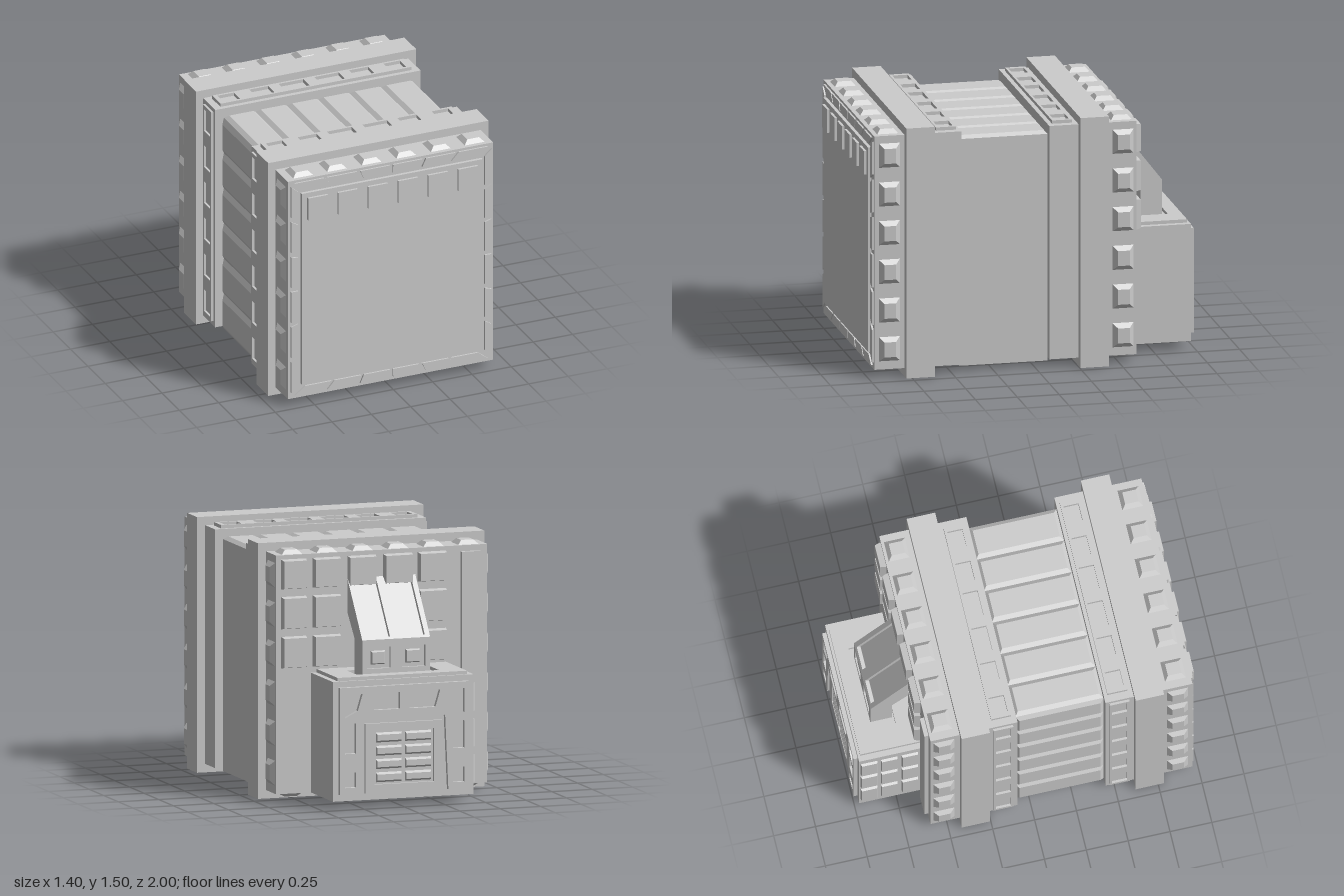
import * as THREE from 'three';

const mat = new THREE.MeshStandardMaterial({ color: 0xcccccc, flatShading: true });

// Rotations that turn a part's local +z towards each side of the model
const SIDE = {
  front: [0, 0, 0], back: [0, Math.PI, 0], left: [0, Math.PI / 2, 0],
  right: [0, -Math.PI / 2, 0], top: [-Math.PI / 2, 0, 0], bottom: [Math.PI / 2, 0, 0],
};

function add(parent, name, geo, pos = [0, 0, 0], side = 'front') {
  const m = new THREE.Mesh(geo, mat);
  m.name = name;
  m.position.set(...pos);
  m.rotation.set(...SIDE[side]);
  parent.add(m);
  return m;
}

// Box given by its limits on each axis
function block(parent, name, [x0, x1], [y0, y1], [z0, z1]) {
  return add(parent, name, new THREE.BoxGeometry(x1 - x0, y1 - y0, z1 - z0),
    [(x0 + x1) / 2, (y0 + y1) / 2, (z0 + z1) / 2]);
}

// Box standing on z = 0 whose outer face is narrowed
function frustum(w, h, topW, topH, d) {
  const g = new THREE.BoxGeometry(w, h, d).translate(0, 0, d / 2);
  const p = g.attributes.position;
  for (let i = 0; i < p.count; i++) {
    if (p.getZ(i) > d / 2) p.setXY(i, p.getX(i) * topW / w, p.getY(i) * topH / h);
  }
  g.computeVertexNormals();
  return g;
}

const poly = (pts) => pts.map(([x, y]) => new THREE.Vector2(x, y));
const rect = (x0, x1, y0, y1) => [[x0, y0], [x1, y0], [x1, y1], [x0, y1]];

// Flat plate of the given outline with holes
function plate(outline, holes, depth) {
  const s = new THREE.Shape(poly(outline));
  for (const h of holes) s.holes.push(new THREE.Path(poly(h)));
  return new THREE.ExtrudeGeometry(s, { depth, bevelEnabled: false });
}

const COLS = [-0.545, -0.33, -0.11, 0.11, 0.33, 0.545];
const ROWS = [0, 1, 2, 3, 4, 5].map((i) => 0.172 + i * 0.233);

function buildHull(root) {
  // Stepped end collars, each with a wide flange between two narrower bands
  const bands = [['frontEnd', 0.785, 0.965], ['frontBand', 0.445, 0.615],
    ['rearBand', -0.255, -0.08], ['rearEnd', -0.6, -0.425]];
  for (const [name, z0, z1] of bands) block(root, name, [-0.655, 0.65], [0.05, 1.455], [z0, z1]);
  block(root, 'frontFlange', [-0.7, 0.7], [0, 1.505], [0.615, 0.785]);
  block(root, 'rearFlange', [-0.7, 0.7], [0, 1.505], [-0.425, -0.255]);
  block(root, 'core', [-0.6, 0.6], [0.03, 1.395], [-0.08, 0.445]);

  // Shallow ribs along the top and right of the core
  for (let i = 0; i < 6; i++) {
    add(root, 'topRib', frustum(0.2, 0.525, 0.15, 0.485, 0.018), [-0.5 + i * 0.2, 1.395, 0.1825], 'top');
    const h = 1.365 / 6;
    add(root, 'sideRib', frustum(0.525, h, 0.485, h * 0.72, 0.018), [-0.6, 0.03 + h * (i + 0.5), 0.1825], 'right');
  }
}

function buildStuds(root) {
  const studs = new THREE.Group();
  studs.name = 'studs';
  root.add(studs);
  for (const z of [0.875, -0.52]) {
    for (const x of COLS) {
      add(studs, 'topStud', frustum(0.125, 0.125, 0.075, 0.08, 0.025), [x, 1.455, z], 'top');
      add(studs, 'bottomStud', frustum(0.125, 0.125, 0.075, 0.08, 0.022), [x, 0.05, z], 'bottom');
    }
    for (const y of ROWS) {
      add(studs, 'leftStud', frustum(0.125, 0.145, 0.07, 0.09, 0.025), [0.65, y, z], 'left');
      add(studs, 'rightStud', frustum(0.125, 0.145, 0.07, 0.09, 0.022), [-0.655, y, z], 'right');
    }
  }
}

// Strips with six windows on the inner bands
function buildWindowStrips(root) {
  const topHoles = [[-0.53, 0.105], [-0.32, 0.12], [-0.115, 0.155], [0.11, 0.155], [0.315, 0.12], [0.525, 0.105]]
    .map(([x, w]) => rect(x - w / 2, x + w / 2, -0.045, 0.045));
  const sideHoles = ROWS.map((y) => rect(-0.045, 0.045, y - 0.07, y + 0.07));
  for (const z of [0.527, -0.167]) {
    add(root, 'topWindowStrip', plate(rect(-0.61, 0.605, -0.06, 0.06), topHoles, 0.02), [0, 1.455, z], 'top');
    add(root, 'sideWindowStrip', plate(rect(-0.06, 0.06, 0.08, 1.43), sideHoles, 0.014), [-0.655, 0, z], 'right');
  }
}

function buildFront(root) {
  block(root, 'frontPanel', [-0.575, 0.575], [0.14, 1.37], [0.96, 0.985]);
  for (let i = 0; i < 6; i++) {
    const x = -0.478 + i * 0.191;
    block(root, 'frontTile', [x - 0.0625, x + 0.0625], [1.2, 1.34], [0.98, 1]);
  }
  // Slanted tiles around the panel, narrowing towards its centre
  const frame = new THREE.Group();
  frame.name = 'frontFrame';
  frame.position.set(0, 0.755, 0.96);
  root.add(frame);
  for (let i = 0; i < 6; i++) {
    for (const s of [-1, 1]) {
      const a = -0.615 + i * 0.2085, b = a + 0.188, k = 0.89;
      const across = [[a, s * 0.685], [b, s * 0.685], [b * k, s * 0.635], [a * k, s * 0.635]];
      add(frame, 'frameTile', plate(across, [], 0.016));
      const c = -0.665 + i * 0.2265, d = c + 0.198;
      const up = [[s * 0.637, c], [s * 0.637, d], [s * 0.592, d * 0.94], [s * 0.592, c * 0.94]];
      add(frame, 'frameTile', plate(up, [], 0.016));
    }
  }
}

function buildBackWall(root) {
  const cols = [[0.465, 0.62], [0.255, 0.425], [0.035, 0.21], [-0.19, -0.01], [-0.4, -0.225]];
  const rows = [[1.255, 1.43], [1.02, 1.21], [0.79, 0.975]];
  cols.forEach(([x0, x1], c) => rows.forEach(([y0, y1], r) => {
    if (r > 0 && (c === 2 || c === 3)) return; // behind the chute
    add(root, 'wallTile', frustum(x1 - x0, y1 - y0, x1 - x0 - 0.015, y1 - y0 - 0.015, 0.036),
      [(x0 + x1) / 2, (y0 + y1) / 2, -0.6], 'back');
  }));
  block(root, 'wallStrip', [-0.605, -0.49], [0.1, 1.42], [-0.625, -0.59]);
}

function buildRearBox(root) {
  const box = new THREE.Group();
  box.name = 'rearBox';
  root.add(box);
  block(box, 'boxBody', [-0.435, 0.435], [0.05, 0.755], [-0.975, -0.59]);
  // Lid with an opening round the chute foot
  add(box, 'lid', plate(rect(-0.4, 0.4, 0.6, 0.96), [rect(-0.255, 0.255, 0.715, 0.878)], 0.02), [0, 0.755, 0], 'top');

  // Raised panels on the right side
  for (const z of [-0.915, -0.795, -0.672]) {
    for (const y of [0.2, 0.41, 0.62]) {
      add(box, 'sidePanel', frustum(0.1, 0.17, 0.09, 0.16, 0.015), [-0.435, y, z], 'right');
    }
  }

  // Face plate with openings and a central bay
  const outline = [[-0.4, 0.09], [-0.27, 0.09], [-0.25, 0.53], [0.25, 0.53], [0.27, 0.09],
    [0.4, 0.09], [0.4, 0.72], [-0.4, 0.72]];
  const holes = [];
  for (const s of [-1, 1]) {
    holes.push([[s * 0.03, 0.58], [s * 0.19, 0.58], [s * 0.22, 0.68], [s * 0.03, 0.68]],
      [[s * 0.29, 0.58], [s * 0.37, 0.54], [s * 0.37, 0.68], [s * 0.26, 0.68]],
      [[s * 0.3, 0.33], [s * 0.37, 0.33], [s * 0.37, 0.49], [s * 0.3, 0.51]],
      [[s * 0.3, 0.13], [s * 0.37, 0.13], [s * 0.37, 0.22], [s * 0.3, 0.22]]);
  }
  add(box, 'facePlate', plate(outline, holes, 0.025), [0, 0, -0.975], 'back');
  add(box, 'bayPlate', plate(rect(-0.24, 0.24, 0.09, 0.5), [rect(-0.185, 0.185, 0.14, 0.455)], 0.017),
    [0, 0, -0.975], 'back');
  for (let i = 0; i < 4; i++) {
    for (const x of [-0.09, 0.09]) {
      add(box, 'grilleBar', frustum(0.16, 0.058, 0.15, 0.035, 0.015), [x, 0.18 + i * 0.078, -0.975], 'back');
    }
  }
}

// Bent chute from the wall to the box, with two grooves down its slope
function buildChute(root) {
  const chute = new THREE.Group();
  chute.name = 'chute';
  root.add(chute);
  const under = [[0.6, 1.1], [0.725, 0.96], [0.725, 0.75]];
  const full = [...under, [0.855, 0.75], [0.855, 0.97], [0.6, 1.3]];
  const grooved = [...under, [0.855, 0.75], [0.855, 0.8], [0.835, 0.8], [0.835, 0.925], [0.855, 0.925],
    [0.855, 0.97], [0.845, 0.983], [0.822, 0.975], [0.6, 1.262]];
  const slices = [[-0.21, -0.18, full], [-0.18, -0.035, grooved], [-0.035, 0.035, full],
    [0.035, 0.18, grooved], [0.18, 0.21, full]];
  for (const [x0, x1, profile] of slices) {
    add(chute, 'chuteSlice', plate(profile, [], x1 - x0), [x0, 0, 0], 'left');
  }
  for (const x of [-0.1075, 0.1075]) {
    add(chute, 'chuteWindow', frustum(0.09, 0.08, 0.075, 0.065, 0.014), [x, 0.8625, -0.835], 'back');
  }
}

export function createModel() {
  const root = new THREE.Group();
  root.name = 'container';
  buildHull(root);
  buildStuds(root);
  buildWindowStrips(root);
  buildFront(root);
  buildBackWall(root);
  buildRearBox(root);
  buildChute(root);
  return root;
}
